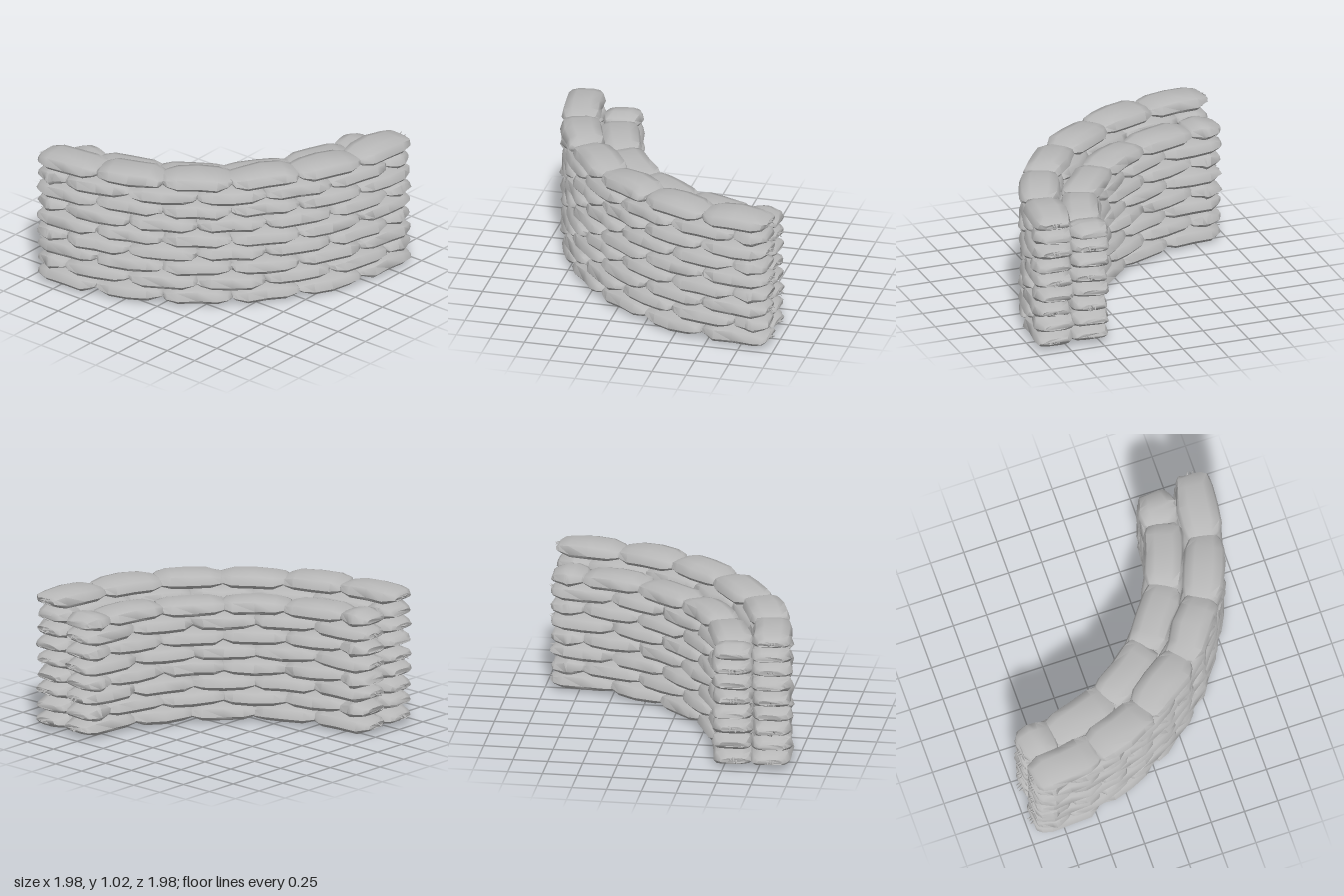
import * as THREE from 'three';
import { toCreasedNormals } from 'three/addons/utils/BufferGeometryUtils.js';

const sackGrey = new THREE.MeshStandardMaterial({ color: 0xb8b8b8 });
sackGrey.name = 'sackGrey';

// Small seeded random, returns -amount..amount
let seed;
function jitter(amount) {
  seed = (seed * 16807) % 2147483647;
  return (seed / 2147483647 * 2 - 1) * amount;
}

// Cross-section of a full sack, as [z, y] fractions of half width and height
const SECTION = [
  [1, -0.2], [0.87, 0.32], [0.45, 0.48], [-0.45, 0.48], [-0.87, 0.32],
  [-1, -0.2], [-0.83, -0.43], [-0.4, -0.5], [0.4, -0.5], [0.83, -0.43],
];
// End taper: [distance from the end, width scale, height scale]
const TAPER = [[0, 0.66, 0.34], [0.025, 0.84, 0.58], [0.1, 1, 0.97]];

// Plump sack lofted from scaled cross-sections, with slightly uneven filling
function sackGeometry(length, width, height) {
  const n = SECTION.length, pos = [], index = [];
  const stations = [
    ...TAPER.map(([d, w, h]) => [d - length / 2, w, h]),
    [0, 1.01, 1.03],
    ...TAPER.map(([d, w, h]) => [length / 2 - d, w, h]).reverse(),
  ];
  for (const [x, w, h] of stations) {
    const shift = jitter(0.008), drop = jitter(0.006), ws = w * (1 + jitter(0.05));
    for (const [z, y] of SECTION) {
      pos.push(x + jitter(0.007), y * h * height + drop, z * ws * width / 2 + shift);
    }
  }
  const last = (stations.length - 1) * n;
  for (let i = 0; i < stations.length - 1; i++) {
    for (let j = 0; j < n; j++) {
      const k = (j + 1) % n;
      const a = i * n + j, b = a + n, c = i * n + k, d = c + n;
      index.push(a, b, c, b, d, c);
    }
  }
  // End caps
  for (let j = 1; j < n - 1; j++) {
    index.push(0, j, j + 1, last, last + j + 1, last + j);
  }
  const geo = new THREE.BufferGeometry();
  geo.setAttribute('position', new THREE.Float32BufferAttribute(pos, 3));
  geo.setIndex(index);
  return toCreasedNormals(geo, 1.0);
}

// Tied neck of a sack: a few small crumpled folds
function tieTuft(side) {
  const tuft = new THREE.Group();
  tuft.name = 'tieTuft';
  for (let i = 0; i < 3; i++) {
    const fold = new THREE.Mesh(new THREE.ConeGeometry(0.012, 0.045, 5), sackGrey);
    fold.name = 'tieFold';
    fold.rotation.z = -side * Math.PI / 2 + jitter(0.6);
    fold.position.set(side * 0.012, jitter(0.012), (i - 1) * 0.02);
    tuft.add(fold);
  }
  return tuft;
}

export function createModel() {
  seed = 11;
  const wall = new THREE.Group();
  wall.name = 'curvedSandbagWall';

  const CENTER = -0.92, PITCH = 0.1115, HEIGHT = 0.116, WIDTH = 0.285;
  const START = -0.7, SPAN = 91.4;
  // The inner row is one course lower, forming a firing step
  const rows = [
    { name: 'outerRow', radius: 1.755, full: 6, layers: 9 },
    { name: 'innerRow', radius: 1.475, full: 5, layers: 8 },
  ];

  for (const row of rows) {
    const group = new THREE.Group();
    group.name = row.name;
    for (let layer = 0; layer < row.layers; layer++) {
      const even = layer % 2 === 0;
      // Running bond: every other course begins and ends with a half sack
      const sizes = even
        ? Array(row.full).fill(1)
        : [0.5, ...Array(row.full - 1).fill(1), 0.5];
      let angle = START;
      sizes.forEach((size, i) => {
        const step = size * SPAN / row.full;
        const theta = THREE.MathUtils.degToRad(angle + step / 2);
        angle += step;
        const length = row.radius * THREE.MathUtils.degToRad(step) + 0.02;
        const r = row.radius + jitter(0.006);
        const sack = new THREE.Group();
        sack.name = size < 1 ? 'halfSack' : 'sack';
        sack.position.set(
          CENTER + r * Math.sin(theta),
          0.069 + layer * PITCH + jitter(0.002),
          CENTER + r * Math.cos(theta));
        sack.rotation.set(jitter(0.03), theta + jitter(0.025), jitter(0.014), 'YXZ');
        const body = new THREE.Mesh(sackGeometry(length, WIDTH, HEIGHT), sackGrey);
        body.name = 'sackBody';
        sack.add(body);
        // Tied necks show on the exposed wall ends
        const side = i === 0 ? -1 : i === sizes.length - 1 ? 1 : 0;
        if (side && even) {
          const tuft = tieTuft(side);
          tuft.position.x = side * length / 2;
          sack.add(tuft);
        }
        group.add(sack);
      });
    }
    wall.add(group);
  }
  return wall;
}
